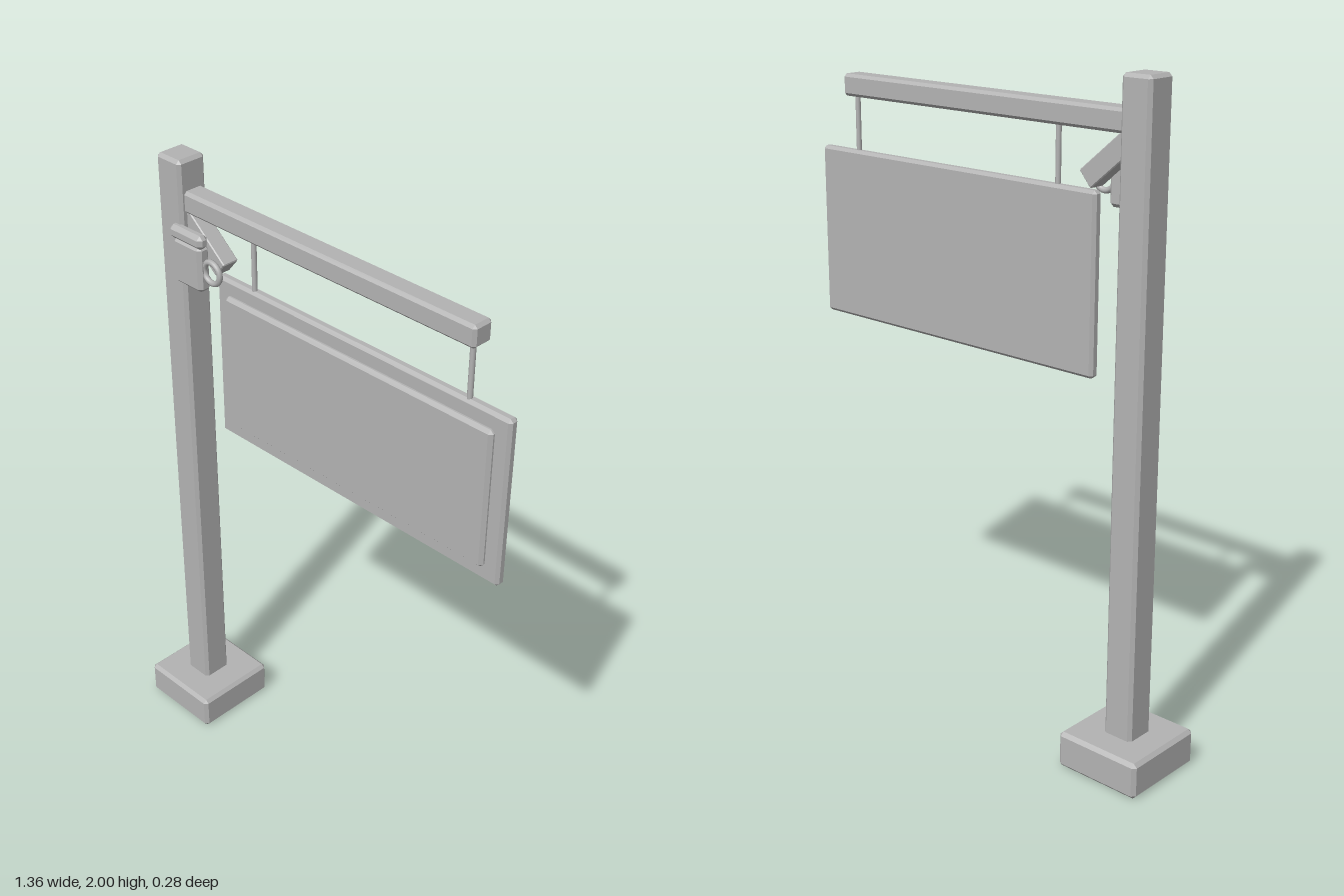
import * as THREE from 'three';
import { ConvexGeometry } from 'three/addons/geometries/ConvexGeometry.js';

const grey = new THREE.MeshStandardMaterial({ color: 0xb3b3b3 });
grey.name = 'plain grey';

// Box with chamfered edges, centred on the origin
function chamferBox(w, h, d, c) {
  const points = [];
  for (const x of [-1, 1]) for (const y of [-1, 1]) for (const z of [-1, 1]) {
    for (let axis = 0; axis < 3; axis++) {
      const inset = [c, c, c];
      inset[axis] = 0;
      points.push(new THREE.Vector3(
        x * (w / 2 - inset[0]), y * (h / 2 - inset[1]), z * (d / 2 - inset[2])));
    }
  }
  return new ConvexGeometry(points);
}

export function createModel() {
  const model = new THREE.Group();
  model.name = 'hangingSign';

  const add = (name, geometry, x, y, z) => {
    const mesh = new THREE.Mesh(geometry, grey);
    mesh.name = name;
    mesh.position.set(x, y, z);
    model.add(mesh);
    return mesh;
  };
  // Chamfered part given by its limits along each axis
  const block = (name, [x0, x1], [y0, y1], [z0, z1], c) =>
    add(name, chamferBox(x1 - x0, y1 - y0, z1 - z0, c),
      (x0 + x1) / 2, (y0 + y1) / 2, (z0 + z1) / 2);

  // Support
  block('base', [-0.68, -0.4], [0, 0.112], [-0.14, 0.14], 0.011);
  block('post', [-0.592, -0.495], [0.1, 2], [-0.049, 0.049], 0.01);
  block('beam', [-0.51, 0.565], [1.842, 1.908], [-0.034, 0.034], 0.009);

  // Diagonal brace between post and sign
  const brace = add('brace', chamferBox(0.2, 0.06, 0.054, 0.003), -0.443, 1.773, 0);
  brace.rotation.z = -0.7;

  // Hanging board with a raised front panel
  block('board', [-0.4, 0.677], [1.157, 1.68], [-0.023, 0.01], 0.009);
  block('raisedPanel', [-0.356, 0.63], [1.203, 1.633], [-0.006, 0.025], 0.01);
  for (const x of [-0.256, 0.532]) {
    add('hanger', new THREE.CylinderGeometry(0.008, 0.008, 0.19, 12), x, 1.76, -0.004);
  }

  // Mug ornament: body, rim and ring handle
  block('mugBody', [-0.522, -0.408], [1.633, 1.775], [0.022, 0.065], 0.011);
  block('mugRim', [-0.532, -0.398], [1.77, 1.812], [0.033, 0.07], 0.012);
  add('mugHandle', new THREE.TorusGeometry(0.032, 0.009, 8, 28), -0.381, 1.703, 0.043);

  return model;
}
